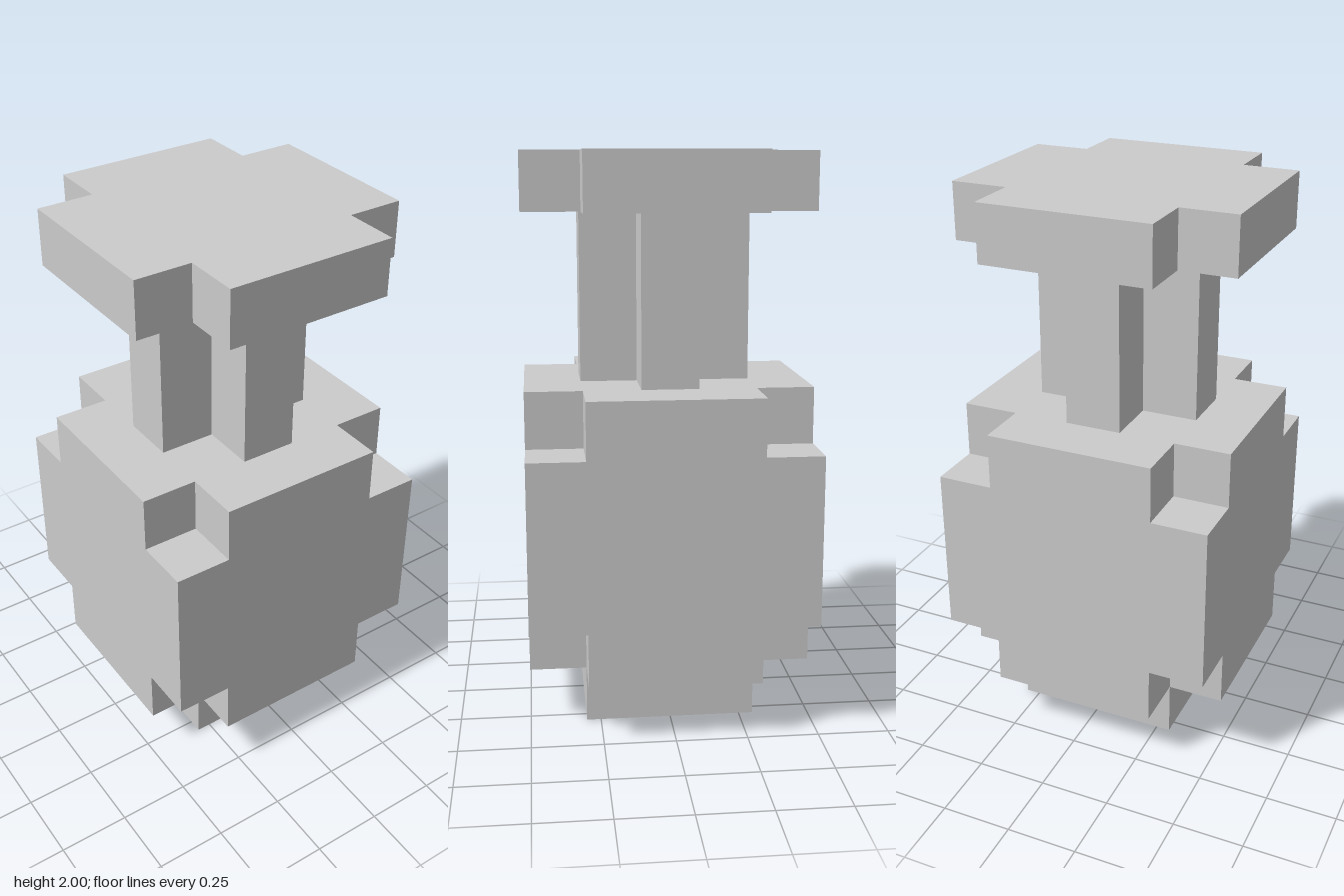
import * as THREE from 'three';

const material = new THREE.MeshStandardMaterial({ color: 0xcccccc, flatShading: true });

// Plus-shaped outline: r is the reach of each arm, w half its width
function crossShape(r, w) {
  return new THREE.Shape([
    [r, -w], [r, w], [w, w], [w, r], [-w, r], [-w, w],
    [-r, w], [-r, -w], [-w, -w], [-w, -r], [w, -r], [w, -w],
  ].map(([x, y]) => new THREE.Vector2(x, y)));
}

function squareShape(r) {
  return new THREE.Shape([[-r, -r], [r, -r], [r, r], [-r, r]].map(([x, y]) => new THREE.Vector2(x, y)));
}

// Upright prism from height y0 to y1
function slab(name, shape, y0, y1) {
  const geometry = new THREE.ExtrudeGeometry(shape, { depth: y1 - y0, bevelEnabled: false });
  geometry.rotateX(-Math.PI / 2).translate(0, y0, 0);
  const mesh = new THREE.Mesh(geometry, material);
  mesh.name = name;
  return mesh;
}

export function createModel() {
  const model = new THREE.Group();
  model.name = 'bottle';
  model.add(
    slab('base', squareShape(0.3), 0, 0.2),
    slab('lowerBody', crossShape(0.5, 0.3), 0.2, 0.4),
    slab('body', squareShape(0.5), 0.4, 1),
    slab('shoulder', crossShape(0.5, 0.3), 1, 1.2),
    slab('neck', crossShape(0.3, 0.1), 1.2, 1.8),
    slab('rim', crossShape(0.5, 0.3), 1.8, 2),
  );
  return model;
}
